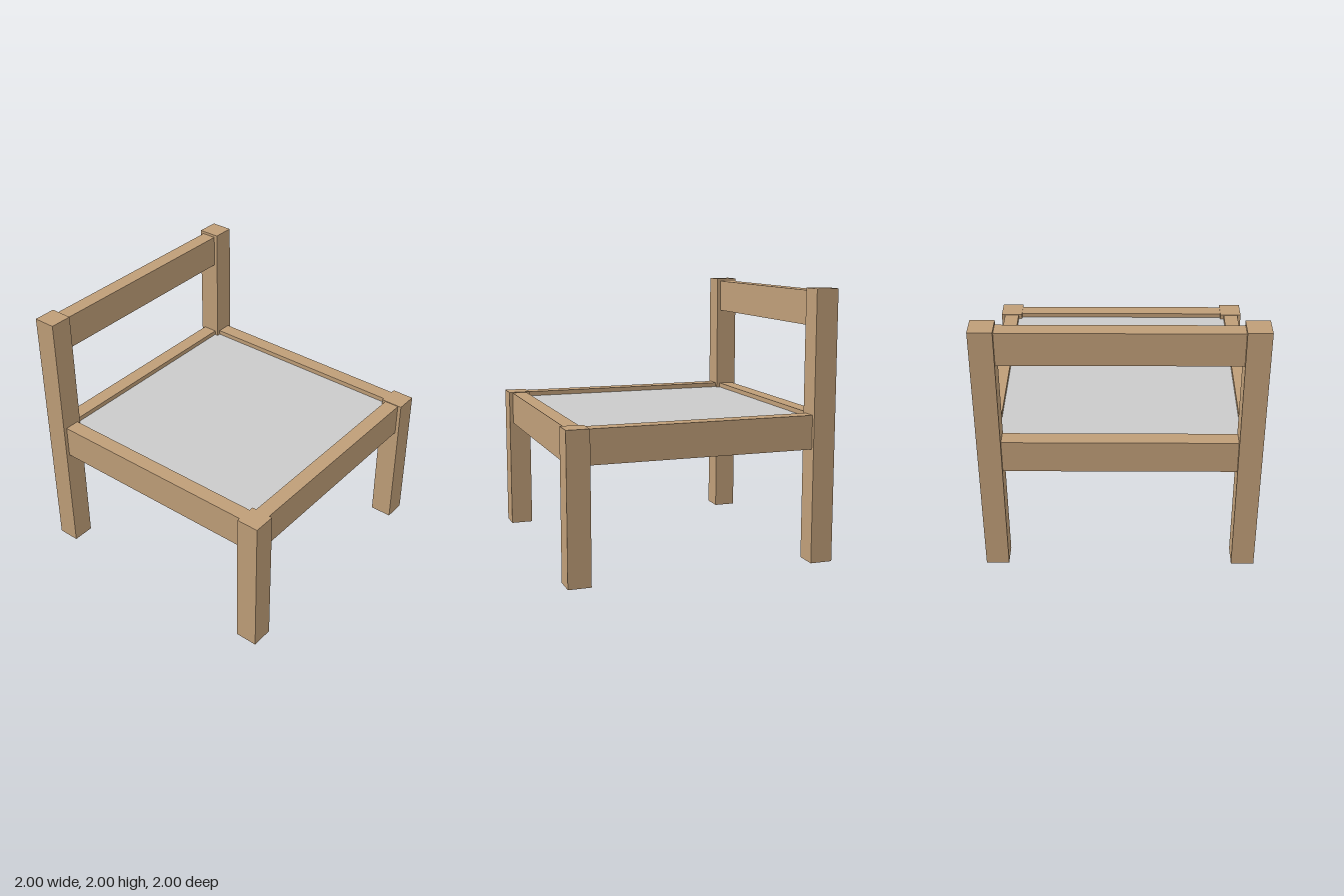
import * as THREE from 'three';

export function createModel() {
  const chair = new THREE.Group();
  chair.name = 'chair';
  const wood = new THREE.MeshStandardMaterial({ color: 0xbf9e78 });
  wood.name = 'wood';
  const grey = new THREE.MeshStandardMaterial({ color: 0xcacaca });
  grey.name = 'seatGrey';

  // Box given by its centre in plan, its bottom and its size
  function box(name, material, x, bottom, z, w, h, d) {
    const mesh = new THREE.Mesh(new THREE.BoxGeometry(w, h, d), material);
    mesh.name = name;
    mesh.position.set(x, bottom + h / 2, z);
    chair.add(mesh);
  }

  const leg = 0.168;            // square leg section
  const legAt = 1 - leg / 2;    // leg centre
  const span = 2 - 2 * leg;     // clear span between legs
  const railDepth = 0.113;
  const railAt = 0.916;         // rail centre
  const railHeight = 0.25;
  const railBottom = 0.845;

  for (const s of [1, -1]) {
    const side = s > 0 ? 'left' : 'right';
    // Short front legs, tall back posts
    box(side + 'FrontLeg', wood, s * legAt, 0, legAt, leg, 1.1, leg);
    box(side + 'BackPost', wood, s * legAt, 0, -legAt, leg, 2, leg);
    // Seat frame rails
    box(side + 'SeatRail', wood, s * railAt, railBottom, 0, railDepth, railHeight, span);
    box(s > 0 ? 'frontSeatRail' : 'backSeatRail', wood, 0, railBottom, s * railAt, span, railHeight, railDepth);
  }

  // Backrest between the posts
  box('backrestRail', wood, 0, 1.73, -railAt, span, railHeight, railDepth);

  // Seat panel, sunk slightly into the frame
  const inner = 2 * (railAt - railDepth / 2);
  box('seatPanel', grey, 0, 1.04, 0, inner, 0.02, inner);

  return chair;
}
